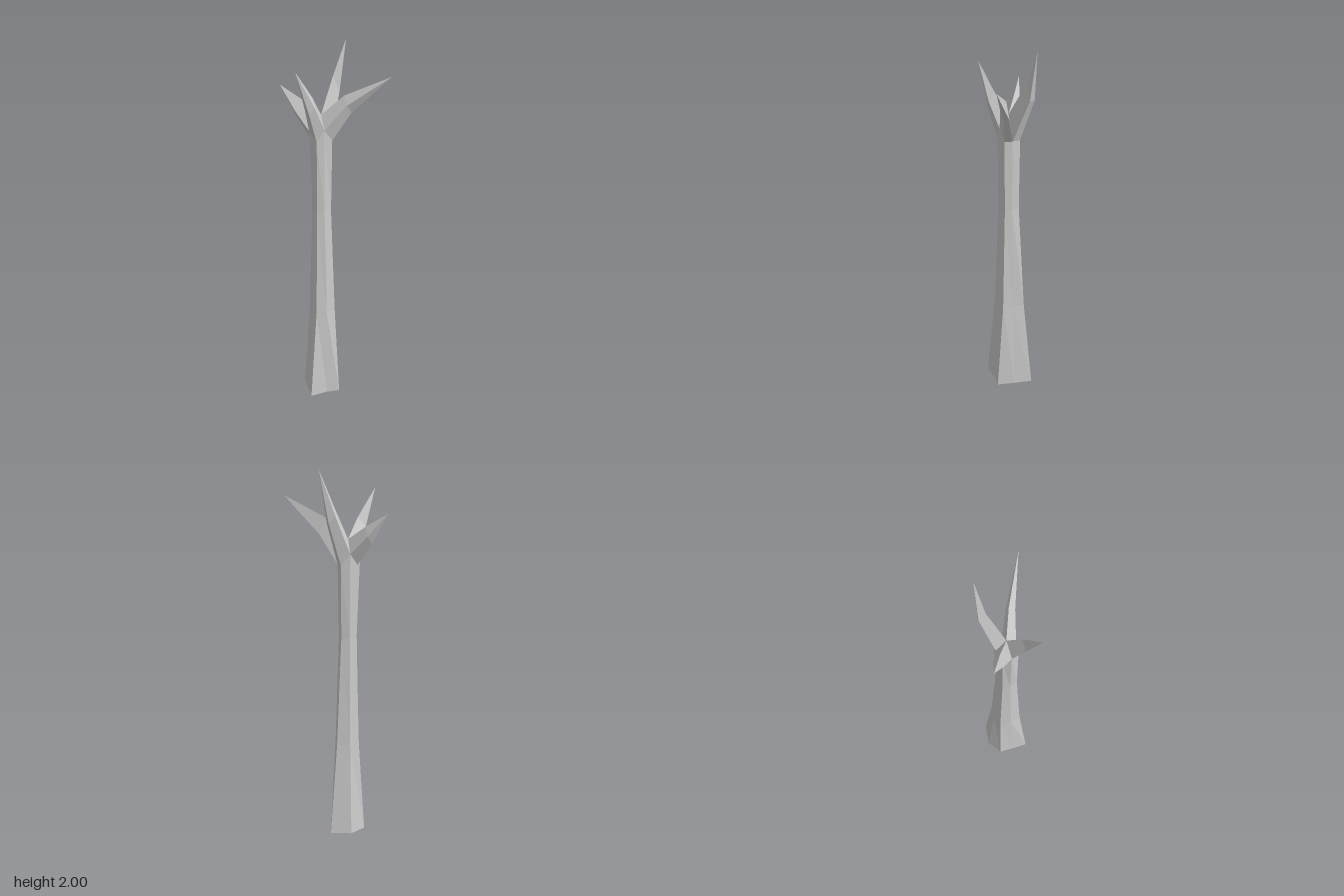
import * as THREE from 'three';

const material = new THREE.MeshStandardMaterial({ color: 0xcccccc, flatShading: true });

// Skin a stack of equal-sized rings; a ring of one point closes into a tip
function loft(name, rings, capBase = false) {
  const positions = [];
  const tri = (...points) => points.forEach(p => positions.push(p.x, p.y, p.z));
  for (let r = 0; r < rings.length - 1; r++) {
    const low = rings[r], high = rings[r + 1], n = low.length;
    for (let i = 0; i < n; i++) {
      const j = (i + 1) % n;
      if (high.length === 1) {
        tri(low[i], high[0], low[j]);
      } else {
        tri(low[i], high[i], high[j]);
        tri(low[i], high[j], low[j]);
      }
    }
  }
  if (capBase) {
    const base = rings[0], mid = average(base);
    base.forEach((p, i) => tri(mid, p, base[(i + 1) % base.length]));
  }
  const geometry = new THREE.BufferGeometry();
  geometry.setAttribute('position', new THREE.Float32BufferAttribute(positions, 3));
  geometry.computeVertexNormals();
  const mesh = new THREE.Mesh(geometry, material);
  mesh.name = name;
  return mesh;
}

const v = (x, y, z) => new THREE.Vector3(x, y, z);
const average = points =>
  points.reduce((sum, p) => sum.add(p), v(0, 0, 0)).divideScalar(points.length);
const level = (y, outline) => outline.map(([x, z]) => v(x, y, z));

export function createModel() {
  const group = new THREE.Group();
  group.name = 'bareTree';

  // Ring order: +x, +x+z, +z, -x+z, -x, -x-z, -z, +x-z
  const base = level(0, [[0.025, -0.03], [0, 0.067], [-0.07, 0.056], [-0.17, 0.062],
    [-0.16, -0.03], [-0.15, -0.11], [-0.065, -0.157], [0.047, -0.13]]);
  const flare = level(0.52, [[-0.005, -0.03], [-0.012, 0.026], [-0.065, 0.04], [-0.122, 0.03],
    [-0.131, -0.03], [-0.118, -0.092], [-0.065, -0.112], [0.005, -0.095]]);
  const waist = level(1.12, [[-0.018, -0.03], [-0.026, 0.008], [-0.068, 0.022], [-0.106, 0.012],
    [-0.115, -0.03], [-0.105, -0.07], [-0.065, -0.084], [-0.022, -0.072]]);

  // Top of the trunk: low corners, with raised saddles between the branches
  const crown = [v(-0.01, 1.51, -0.03), v(-0.02, 1.51, 0.012), v(-0.065, 1.57, 0.02),
    v(-0.106, 1.51, 0.015), v(-0.13, 1.56, -0.03), v(-0.108, 1.51, -0.07),
    v(-0.065, 1.57, -0.085), v(-0.018, 1.51, -0.075)];
  const crotch = v(-0.065, 1.64, -0.03);
  group.add(loft('trunk', [base, flare, waist, crown], true));

  // Each branch grows from one quarter of the crown, bends, and ends in a point
  const branches = [
    { name: 'frontLeftBranch', bend: v(0.055, 1.69, 0.042), tip: v(0.237, 1.85, 0.162) },
    { name: 'frontRightBranch', bend: v(-0.145, 1.7, 0.036), tip: v(-0.23, 1.89, 0.067) },
    { name: 'backRightBranch', bend: v(-0.16, 1.665, -0.11), tip: v(-0.238, 1.78, -0.165) },
    { name: 'backLeftBranch', bend: v(0.04, 1.765, -0.108), tip: v(0.102, 2, -0.11) },
  ];
  branches.forEach(({ name, bend, tip }, i) => {
    const root = [crown[2 * i], crown[2 * i + 1], crown[(2 * i + 2) % 8], crotch];
    const middle = average(root);
    const elbow = root.map(p => p.clone().sub(middle).multiplyScalar(0.65).add(bend));
    group.add(loft(name, [root, elbow, [tip]]));
  });

  return group;
}
